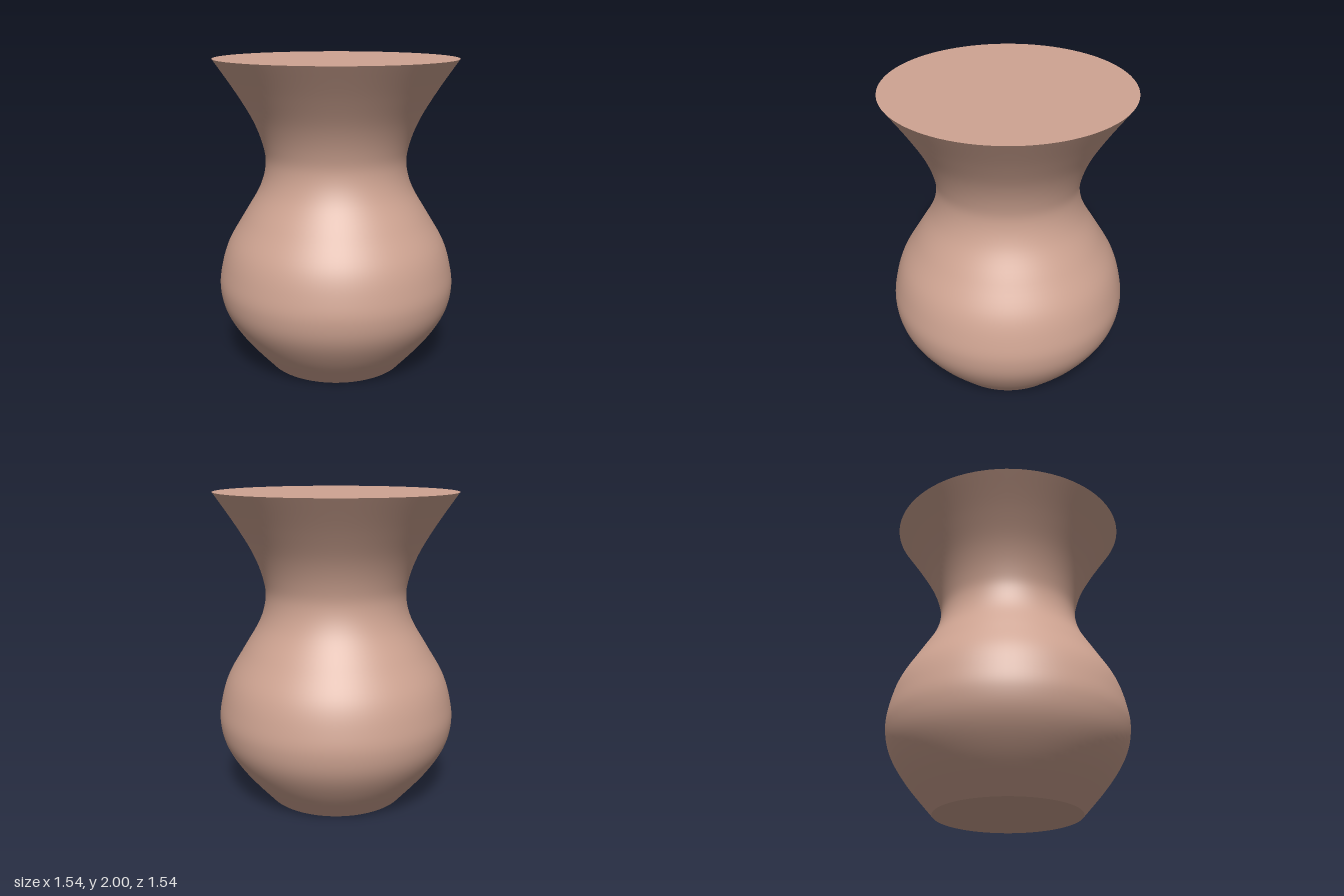
import * as THREE from 'three';

export function createModel() {
  const vase = new THREE.Group();
  vase.name = 'vase';
  const clay = new THREE.MeshStandardMaterial({ color: 0xcfa492 });
  clay.name = 'clay';

  const add = (name, geometry) => {
    const mesh = new THREE.Mesh(geometry, clay);
    mesh.name = name;
    vase.add(mesh);
    return mesh;
  };

  // Turned wall: narrow foot, round belly, waist and flared rim (radius, height)
  const profile = new THREE.SplineCurve([
    [0.46, 0], [0.63, 0.2], [0.735, 0.37], [0.77, 0.52], [0.755, 0.66], [0.705, 0.82],
    [0.6, 1], [0.495, 1.18], [0.455, 1.33], [0.47, 1.46], [0.53, 1.62], [0.635, 1.8], [0.77, 2],
  ].map(([r, y]) => new THREE.Vector2(r, y)));
  add('body', new THREE.LatheGeometry(profile.getPoints(72), 96));

  // Flat discs closing the rim and the foot
  const top = add('topCap', new THREE.CircleGeometry(0.77, 96));
  top.rotation.x = -Math.PI / 2;
  top.position.y = 2;
  const base = add('baseCap', new THREE.CircleGeometry(0.46, 96));
  base.rotation.x = Math.PI / 2;

  return vase;
}
